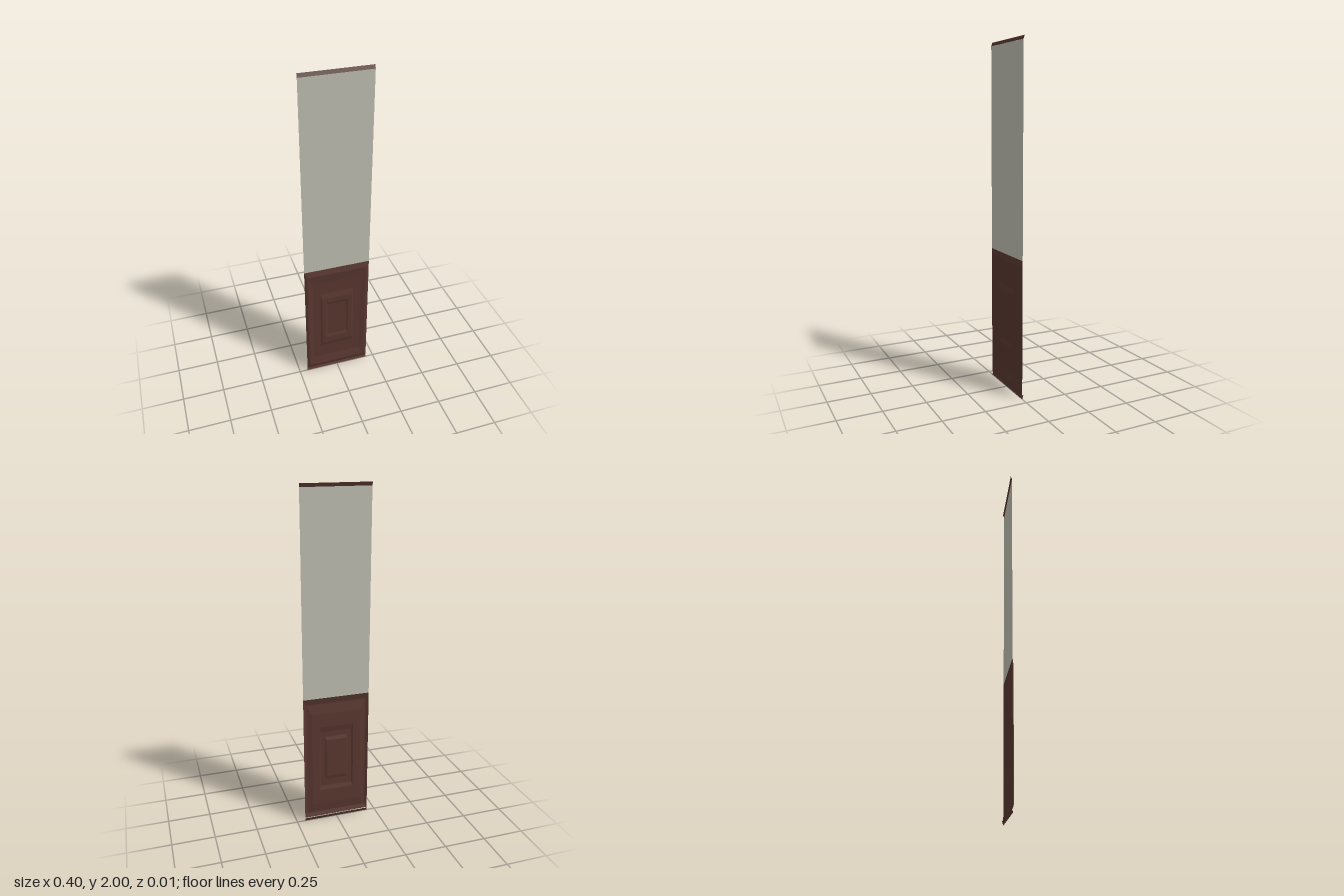
import * as THREE from 'three';

const wood = new THREE.MeshStandardMaterial({ name: 'dark wood', color: 0x58372f, side: THREE.DoubleSide });
const plaster = new THREE.MeshStandardMaterial({ name: 'grey plaster', color: 0xbdbdb1, side: THREE.DoubleSide });

// Sheet made of four-cornered faces, with hard edges
function quads(name, material, faces) {
  const pos = [];
  for (const [a, b, c, d] of faces) pos.push(...a, ...b, ...c, ...a, ...c, ...d);
  const g = new THREE.BufferGeometry();
  g.setAttribute('position', new THREE.Float32BufferAttribute(pos, 3));
  g.computeVertexNormals();
  const m = new THREE.Mesh(g, material);
  m.name = name;
  return m;
}

// Full-width strip from (y0, z0) up to (y1, z1)
const W = 0.2;
const strip = (name, material, y0, z0, y1, z1) => quads(name, material,
  [[[-W, y0, z0], [W, y0, z0], [W, y1, z1], [-W, y1, z1]]]);

// Corners of a rectangular ring, anticlockwise from bottom left
const ring = ([w, y0, y1, z]) => [[-w, y0, z], [w, y0, z], [w, y1, z], [-w, y1, z]];

// Nested rectangles joined by mitred slopes, closed by a flat centre
function mouldedPanel(name, rects) {
  const rings = rects.map(ring), faces = [];
  for (let k = 0; k + 1 < rings.length; k++) {
    const o = rings[k], n = rings[k + 1];
    for (let i = 0; i < 4; i++) {
      const j = (i + 1) % 4;
      faces.push([o[i], o[j], n[j], n[i]]);
    }
  }
  faces.push(rings[rings.length - 1]);
  return quads(name, wood, faces);
}

export function createModel() {
  const group = new THREE.Group();
  group.name = 'wallPanel';

  // Plain upper wall
  group.add(strip('upperWall', plaster, 0.8, 0, 1.98, 0));

  // Sloping trims at ceiling and floor
  group.add(strip('ceilingTrim', wood, 1.98, 0.0005, 2, -0.007));
  group.add(strip('floorTrim', wood, 0, 0.0005, 0.02, -0.007));

  // Wainscot: half width, bottom, top, depth of each rectangle
  group.add(mouldedPanel('wainscot', [
    [0.2, 0.02, 0.8, 0],
    [0.185, 0.045, 0.765, 0.007],
    [0.178, 0.05, 0.76, 0.007],
    [0.15, 0.105, 0.7, 0],
    [0.105, 0.195, 0.615, 0],
    [0.095, 0.22, 0.58, 0.006],
    [0.07, 0.262, 0.547, 0.006],
    [0.06, 0.285, 0.525, 0.001],
  ]));
  return group;
}
